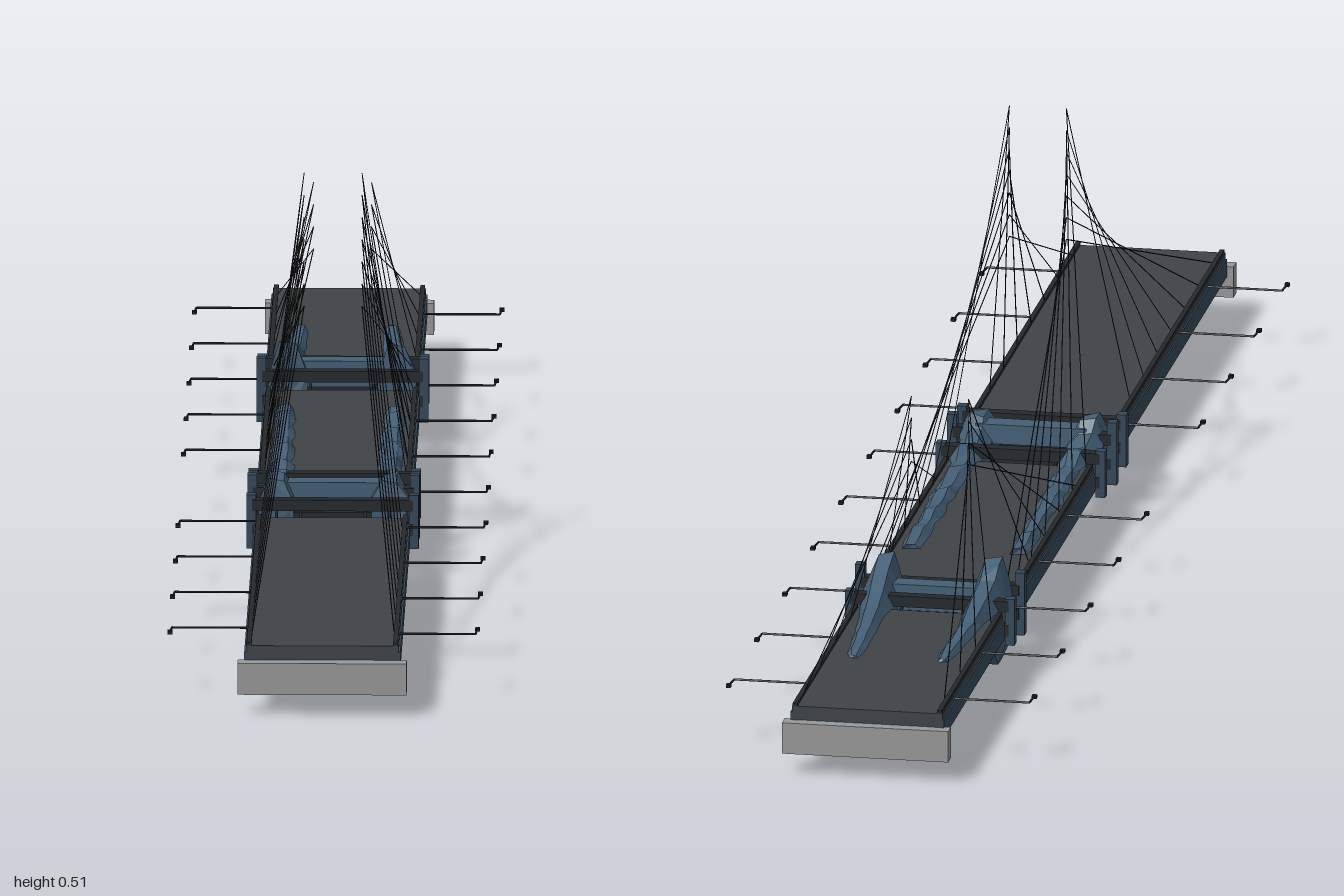
import * as THREE from 'three';

const mat = (color, flat = false) => new THREE.MeshStandardMaterial({ color, flatShading: flat });
const M = {
  deck: mat(0x3f4447), steel: mat(0x34495a), tower: mat(0x456077, true),
  dark: mat(0x25292c), cable: mat(0x1c1c1c), stone: mat(0x999999),
};

// small seeded noise in -1..1
let seed = 7;
const rnd = () => {
  seed = (seed * 16807) % 2147483647;
  return (seed / 2147483647) * 2 - 1;
};

export function createModel() {
  const root = new THREE.Group();
  const group = (name) => {
    const g = new THREE.Group();
    g.name = name;
    root.add(g);
    return g;
  };
  // box given by its extents on each axis
  const box = (parent, name, m, [x0, x1], [y0, y1], [z0, z1]) => {
    const mesh = new THREE.Mesh(new THREE.BoxGeometry(x1 - x0, y1 - y0, z1 - z0), m);
    mesh.position.set((x0 + x1) / 2, (y0 + y1) / 2, (z0 + z1) / 2);
    mesh.name = name;
    parent.add(mesh);
  };
  // thin round rod between two points
  const rod = (parent, name, m, a, b, r, sides = 5) => {
    const p = new THREE.Vector3(...a), d = new THREE.Vector3(...b).sub(p);
    const mesh = new THREE.Mesh(new THREE.CylinderGeometry(r, r, d.length(), sides), m);
    mesh.position.copy(p).addScaledVector(d, 0.5);
    mesh.quaternion.setFromUnitVectors(new THREE.Vector3(0, 1, 0), d.clone().normalize());
    mesh.name = name;
    parent.add(mesh);
  };

  // rough faceted leg lofted towards -z through [z, x, y, half width, half height]
  const leg = (sections, side, rough) => {
    const n = 8, pos = [], idx = [];
    for (const [z, x, y, w, h] of sections) {
      for (let i = 0; i < n; i++) {
        const a = ((i + 0.5) / n) * Math.PI * 2;
        const k = 1.06 + rough * rnd();
        pos.push(side * x + Math.cos(a) * w * k, y + Math.sin(a) * h * k, z + rnd() * 0.004);
      }
    }
    const last = sections.length - 1;
    for (let s = 0; s < last; s++) {
      for (let i = 0; i < n; i++) {
        const a = s * n + i, b = s * n + (i + 1) % n;
        idx.push(a, a + n, b, b, a + n, b + n);
      }
    }
    for (let i = 1; i < n - 1; i++) {
      idx.push(0, i, i + 1, last * n, last * n + i + 1, last * n + i);
    }
    const g = new THREE.BufferGeometry();
    g.setAttribute('position', new THREE.Float32BufferAttribute(pos, 3));
    g.setIndex(idx);
    g.computeVertexNormals();
    const mesh = new THREE.Mesh(g, M.tower);
    mesh.name = 'towerLeg';
    return mesh;
  };

  // deck spans with edge girders, kerbs and floor beams
  const deck = group('deck');
  for (const [z0, z1] of [[-0.985, -0.565], [-0.425, 0.065], [0.275, 0.98]]) {
    box(deck, 'roadSlab', M.deck, [-0.095, 0.095], [0.072, 0.088], [z0, z1]);
    for (const s of [-1, 1]) {
      const x = s * 0.091;
      box(deck, 'edgeGirder', M.steel, [x - 0.006, x + 0.006], [0.057, 0.08], [z0, z1]);
      box(deck, 'kerb', M.dark, [x - 0.003, x + 0.003], [0.088, 0.092], [z0, z1]);
    }
    const count = Math.round((z1 - z0) / 0.19);
    for (let i = 0; i <= count; i++) {
      const z = z0 + 0.004 + ((z1 - z0 - 0.008) * i) / count;
      box(deck, 'floorBeam', M.steel, [-0.086, 0.086], [0.064, 0.073], [z - 0.003, z + 0.003]);
    }
  }

  // abutments
  const abutments = group('abutments');
  for (const [z0, z1] of [[-1, -0.98], [0.98, 1]]) {
    box(abutments, 'abutment', M.stone, [-0.105, 0.105], [0.03, 0.07], [z0, z1]);
  }

  // rods bridging the gaps between spans
  const links = group('gapRods');
  for (const [z0, z1] of [[-0.57, -0.42], [0.06, 0.28]]) {
    for (const x of [-0.07, -0.04, 0.04, 0.07]) {
      rod(links, 'gapRod', M.dark, [x, 0.078, z0], [x, 0.078, z1], 0.002, 6);
    }
  }

  // cross frames at the towers
  const frames = group('crossFrames');
  for (const [z, y0, y1] of [[-0.545, 0.045, 0.105], [-0.475, 0.037, 0.118],
    [0.085, 0.045, 0.105], [0.165, 0.037, 0.118], [0.232, 0.04, 0.108]]) {
    for (const s of [-1, 1]) {
      const x = s * 0.101;
      box(frames, 'framePost', M.steel, [x - 0.006, x + 0.006], [y0, y1], [z - 0.007, z + 0.007]);
    }
    for (const y of [0.064, 0.095]) {
      box(frames, 'frameBeam', M.dark, [-0.1, 0.1], [y - 0.007, y + 0.007], [z - 0.008, z + 0.008]);
    }
  }

  // large tower lying from z = 0.2 back along the middle span
  const bigTower = group('largeTower');
  const bigSections = [
    [0.195, 0.07, 0.076, 0.023, 0.042], [0.16, 0.07, 0.077, 0.022, 0.041],
    [0.15, 0.069, 0.075, 0.021, 0.032], [0.11, 0.068, 0.074, 0.019, 0.024],
    [0.08, 0.068, 0.075, 0.019, 0.028],
  ];
  for (let i = 0; i < 14; i++) {
    bigSections.push([0.05 - i * 0.0277, 0.068, 0.077, 0.018 - i * 0.0003, i % 3 === 2 ? 0.022 : 0.018]);
  }
  // smaller tower lying from z = -0.48 back along the rear span
  const smallTower = group('smallTower');
  const smallSections = [
    [-0.48, 0.068, 0.068, 0.025, 0.067], [-0.505, 0.068, 0.068, 0.024, 0.062],
    [-0.525, 0.068, 0.07, 0.023, 0.049], [-0.56, 0.066, 0.071, 0.021, 0.039],
    [-0.6, 0.064, 0.072, 0.019, 0.03], [-0.63, 0.063, 0.073, 0.017, 0.025],
    [-0.66, 0.061, 0.075, 0.016, 0.022], [-0.69, 0.06, 0.076, 0.015, 0.02],
    [-0.72, 0.058, 0.077, 0.014, 0.018], [-0.75, 0.057, 0.078, 0.012, 0.016],
    [-0.77, 0.056, 0.079, 0.008, 0.012],
  ];
  for (const s of [-1, 1]) {
    bigTower.add(leg(bigSections, s, 0.13));
    smallTower.add(leg(smallSections, s, 0.07));
  }
  box(bigTower, 'towerBeam', M.tower, [-0.07, 0.07], [0.085, 0.11], [0.15, 0.178]);
  box(smallTower, 'towerBeam', M.tower, [-0.07, 0.07], [0.075, 0.108], [-0.523, -0.497]);

  // crossing stay cables: the nearest anchor meets the highest point
  const stays = group('stayCables');
  const fan = (z, top, drop, count, first, step) => {
    for (let i = 0; i < count; i++) {
      for (const s of [-1, 1]) {
        for (const dir of [-1, 1]) {
          rod(stays, 'stayCable', M.cable, [s * 0.036, top - i * drop, z],
            [s * 0.088, 0.093, z + dir * (first + i * step)], 0.0007, 4);
        }
      }
    }
  };
  fan(0.2, 0.51, 0.0283, 7, 0.15, 0.095);
  fan(-0.48, 0.34, 0.0283, 4, 0.13, 0.107);

  // lamp posts lying sideways, with a short bent arm and head
  const lamps = group('lampPosts');
  for (let i = 0; i < 10; i++) {
    for (const s of [-1, 1]) {
      if (s < 0 && i === 5) continue;
      const z = (s < 0 ? -0.9 : -0.87) + i * 0.195, y = 0.082;
      const tip = z - s * 0.026;
      rod(lamps, 'lampPost', M.cable, [s * 0.092, y, z], [s * 0.189, y, z], 0.0015);
      rod(lamps, 'lampArm', M.cable, [s * 0.189, y, z], [s * 0.191, y, tip], 0.0014);
      box(lamps, 'lampHead', M.cable, [s * 0.191 - 0.003, s * 0.191 + 0.003], [y - 0.002, y + 0.002],
        [tip - 0.004, tip + 0.004]);
    }
  }
  return root;
}
